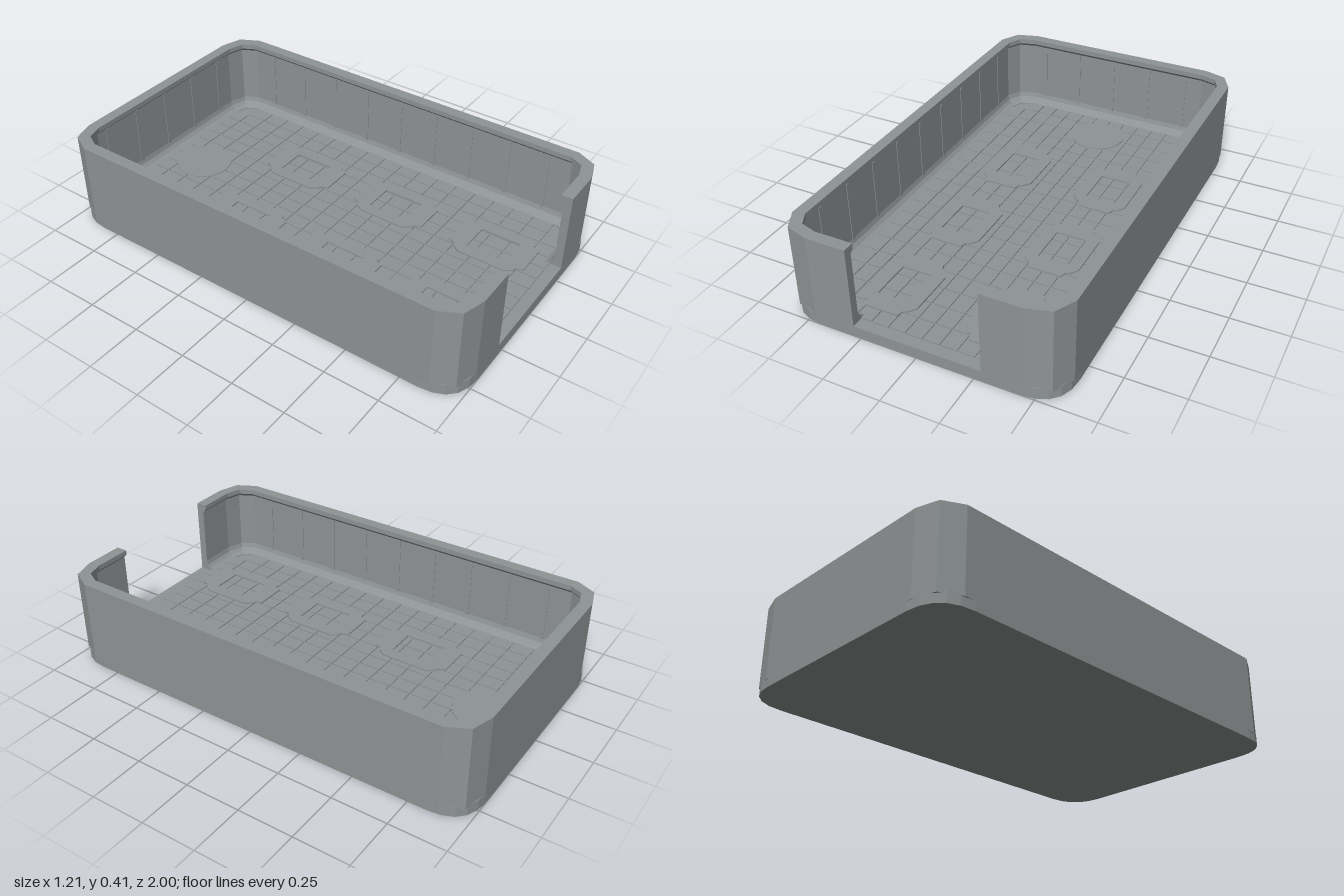
import * as THREE from 'three';
import { mergeGeometries } from 'three/addons/utils/BufferGeometryUtils.js';

const grey = new THREE.MeshStandardMaterial({ color: 0x8e9393 });
grey.name = 'grey';

const W = 0.607, L = 1, FLOOR = 0.05;

function add(parent, geometry, name, x = 0, y = 0, z = 0) {
  const mesh = new THREE.Mesh(geometry, grey);
  mesh.name = name;
  mesh.position.set(x, y, z);
  parent.add(mesh);
  return mesh;
}

// Flat plate lying on the xz plane, thickness upwards
function plate(shape, depth) {
  return new THREE.ExtrudeGeometry(shape, { depth, bevelEnabled: false, curveSegments: 5 }).rotateX(-Math.PI / 2);
}

function roundedRect(w, l, r) {
  const s = new THREE.Shape();
  s.moveTo(w - r, -l);
  s.quadraticCurveTo(w, -l, w, -l + r);
  s.lineTo(w, l - r);
  s.quadraticCurveTo(w, l, w - r, l);
  s.lineTo(-w + r, l);
  s.quadraticCurveTo(-w, l, -w, l - r);
  s.lineTo(-w, -l + r);
  s.quadraticCurveTo(-w, -l, -w + r, -l);
  s.closePath();
  return s;
}

// Wall cross-section swept round the tray, from one side of the opening to the other
function wallGeometry() {
  const half = [[0.28, L], [0.46, L], [0.56, 0.97], [W, 0.88], [W, -0.88], [0.56, -0.97], [0.46, -L]];
  const path = [...half, ...half.map(([x, z]) => [-x, z]).reverse()];
  // [inset from the outside, height]: outer face, lip, inner face, cove
  const profile = [[0, 0.04], [0, 0.415], [0.052, 0.415], [0.052, 0.392], [0.036, 0.376],
    [0.036, 0.1], [0.042, 0.078], [0.055, 0.063], [0.075, 0.054], [0.075, 0.04]];
  const normals = path.slice(1).map(([x, z], i) => {
    const dx = x - path[i][0], dz = z - path[i][1], d = Math.hypot(dx, dz);
    return [dz / d, -dx / d];
  });
  const rings = path.map(([x, z], i) => {
    const a = normals[Math.max(i - 1, 0)], b = normals[Math.min(i, normals.length - 1)];
    const k = 1 / (1 + a[0] * b[0] + a[1] * b[1]);
    return profile.map(([d, y]) => [x + (a[0] + b[0]) * k * d, y, z + (a[1] + b[1]) * k * d]);
  });
  const pos = [];
  const tri = (a, b, c) => pos.push(...a, ...b, ...c);
  const n = profile.length;
  for (let i = 0; i < rings.length - 1; i++) {
    for (let j = 0; j < n; j++) {
      const k = (j + 1) % n;
      tri(rings[i][j], rings[i + 1][j], rings[i + 1][k]);
      tri(rings[i][j], rings[i + 1][k], rings[i][k]);
    }
  }
  const first = rings[0], last = rings[rings.length - 1];
  const contour = profile.map(([d, y]) => new THREE.Vector2(-d, y));
  for (const [a, b, c] of THREE.ShapeUtils.triangulateShape(contour, [])) {
    tri(first[a], first[b], first[c]);
    tri(last[a], last[c], last[b]);
  }
  const g = new THREE.BufferGeometry();
  g.setAttribute('position', new THREE.Float32BufferAttribute(pos, 3));
  g.computeVertexNormals();
  return g;
}

// Raised frame with narrower ends and a rectangular window
function padShape() {
  const quarter = [[0.125, 0.11], [0.1, 0.145], [0.085, 0.15], [0.075, 0.18]];
  const mirror = (sx, sy) => quarter.map(([x, y]) => [x * sx, y * sy]);
  const pts = [...mirror(1, 1), ...mirror(-1, 1).reverse(), ...mirror(-1, -1), ...mirror(1, -1).reverse()];
  const s = new THREE.Shape(pts.map(([x, y]) => new THREE.Vector2(x, y)));
  const hole = new THREE.Path();
  hole.moveTo(-0.07, -0.095);
  hole.lineTo(-0.07, 0.095);
  hole.lineTo(0.07, 0.095);
  hole.lineTo(0.07, -0.095);
  hole.closePath();
  s.holes.push(hole);
  return s;
}

export function createModel() {
  const tray = new THREE.Group();
  tray.name = 'openTray';

  add(tray, plate(roundedRect(W, L, 0.17), FLOOR), 'base');
  add(tray, wallGeometry(), 'wall');

  // Floor tiles separated by fine grooves
  const tiles = [];
  const cols = 14, rows = 19, tw = 0.0765, tl = 0.1;
  for (let i = 0; i < cols; i++) {
    for (let j = 0; j < rows; j++) {
      const x = (i - (cols - 1) / 2) * tw, z = (j - (rows - 1) / 2) * tl;
      if (Math.abs(x) > 0.46 && Math.abs(z) > 0.86) continue;
      tiles.push(new THREE.BoxGeometry(tw - 0.005, 0.006, tl - 0.005).translate(x, FLOOR + 0.002, z));
    }
  }
  add(tray, mergeGeometries(tiles), 'floorTiles');

  // Six raised frames in two columns, and the round plate at the back
  const pad = plate(padShape(), 0.012);
  for (const x of [-0.232, 0.24]) {
    for (const z of [-0.315, 0.195, 0.7]) add(tray, pad, 'raisedFrame', x, FLOOR, z);
  }
  add(tray, new THREE.CylinderGeometry(0.13, 0.13, 0.01, 32), 'roundPlate', 0, FLOOR + 0.004, -0.755);

  // Shallow upright seams on the inside of the walls
  for (let i = -4; i <= 4; i++) {
    for (const side of [-1, 1]) {
      add(tray, new THREE.BoxGeometry(0.006, 0.28, 0.018), 'sideSeam', side * (W - 0.036), 0.235, i * 0.19);
    }
  }
  for (let i = -2; i <= 2; i++) {
    add(tray, new THREE.BoxGeometry(0.018, 0.28, 0.006), 'backSeam', i * 0.19 - 0.015, 0.235, -L + 0.036);
  }
  return tray;
}
